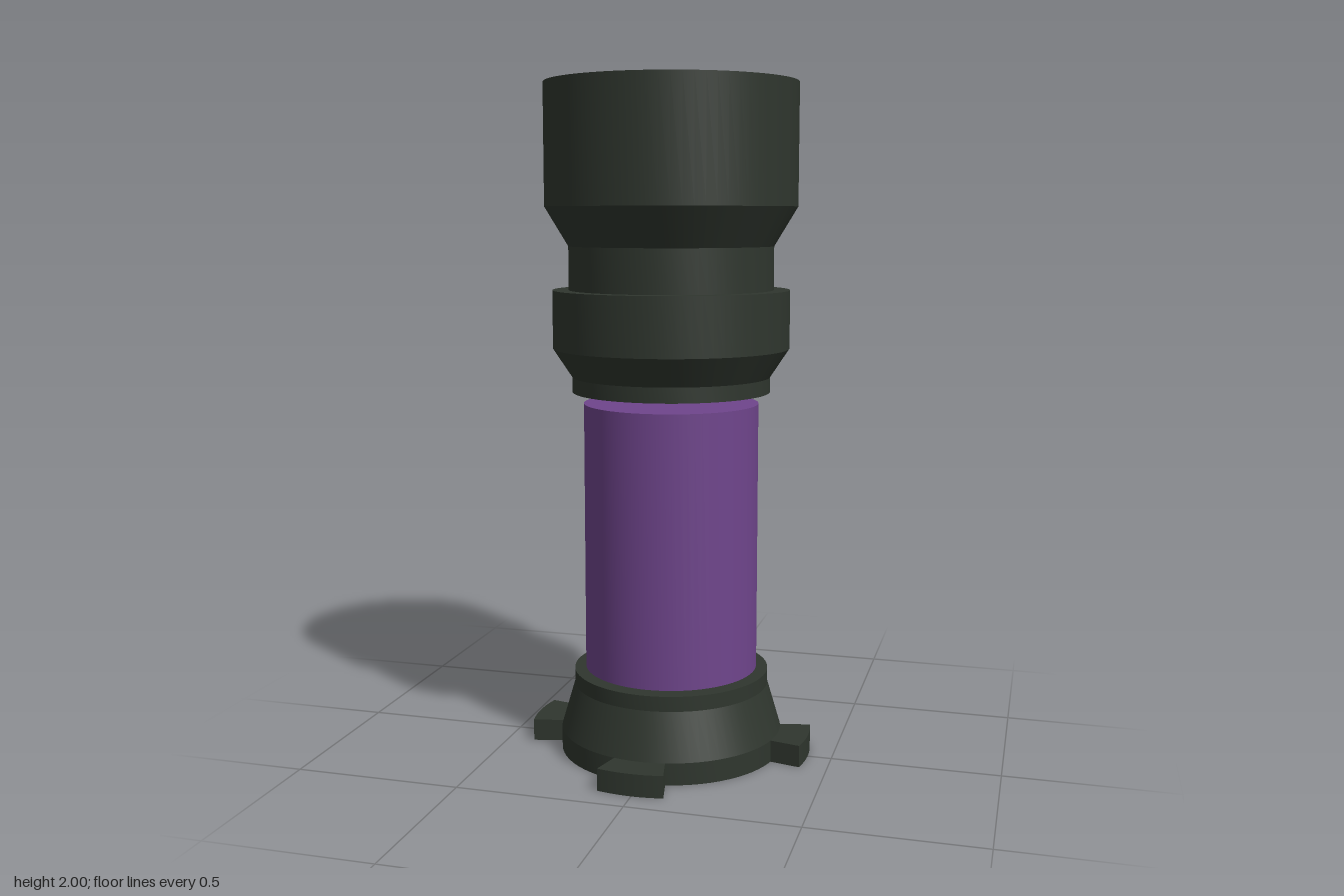
import * as THREE from 'three';
import { toCreasedNormals } from 'three/addons/utils/BufferGeometryUtils.js';

const rad = THREE.MathUtils.degToRad;

// Solid of revolution with sharp edges; profile runs from bottom to top
function turned(name, profile, material) {
  const points = profile.map(([r, y]) => new THREE.Vector2(r, y));
  const mesh = new THREE.Mesh(toCreasedNormals(new THREE.LatheGeometry(points, 72), 0.2), material);
  mesh.name = name;
  return mesh;
}

// Curved lug: a ring sector between two angles (degrees), lying on the ground
function lug(name, from, to, material) {
  const a = rad(from), b = rad(to);
  const shape = new THREE.Shape();
  shape.absarc(0, 0, 0.428, a, b, false);
  shape.absarc(0, 0, 0.32, b, a, true);
  shape.closePath();
  const geometry = new THREE.ExtrudeGeometry(shape, { depth: 0.066, bevelEnabled: false, curveSegments: 10 });
  geometry.rotateX(-Math.PI / 2);
  const mesh = new THREE.Mesh(toCreasedNormals(geometry, 0.2), material);
  mesh.name = name;
  return mesh;
}

export function createModel() {
  const casing = new THREE.MeshStandardMaterial({ color: 0x2f362e });
  casing.name = 'dark green casing';
  const purple = new THREE.MeshStandardMaterial({ color: 0x6f458c });
  purple.name = 'purple';

  const model = new THREE.Group();
  model.name = 'canister';

  // Tapered foot with a collar
  model.add(turned('base', [
    [0, 0], [0.336, 0], [0.336, 0.066], [0.295, 0.205], [0.295, 0.25], [0, 0.25],
  ], casing));

  // Four locking lugs around the foot
  const lugs = new THREE.Group();
  lugs.name = 'lugs';
  lugs.add(
    lug('leftLug', -12.5, 12.5, casing),
    lug('backLug', 77.6, 104.1, casing),
    lug('rightLug', 167.5, 192.5, casing),
    lug('frontLug', 255.9, 282.4, casing),
  );
  model.add(lugs);

  // Coloured core, set just clear of the base and head
  model.add(turned('core', [[0, 0.256], [0.261, 0.256], [0.261, 1.065], [0, 1.065]], purple));

  // Stepped head: collar, wide band, neck and flared cap
  model.add(turned('head', [
    [0, 1.1], [0.295, 1.1], [0.295, 1.145], [0.351, 1.23], [0.351, 1.402], [0.303, 1.402],
    [0.303, 1.53], [0.372, 1.645], [0.372, 2], [0, 2],
  ], casing));

  return model;
}
